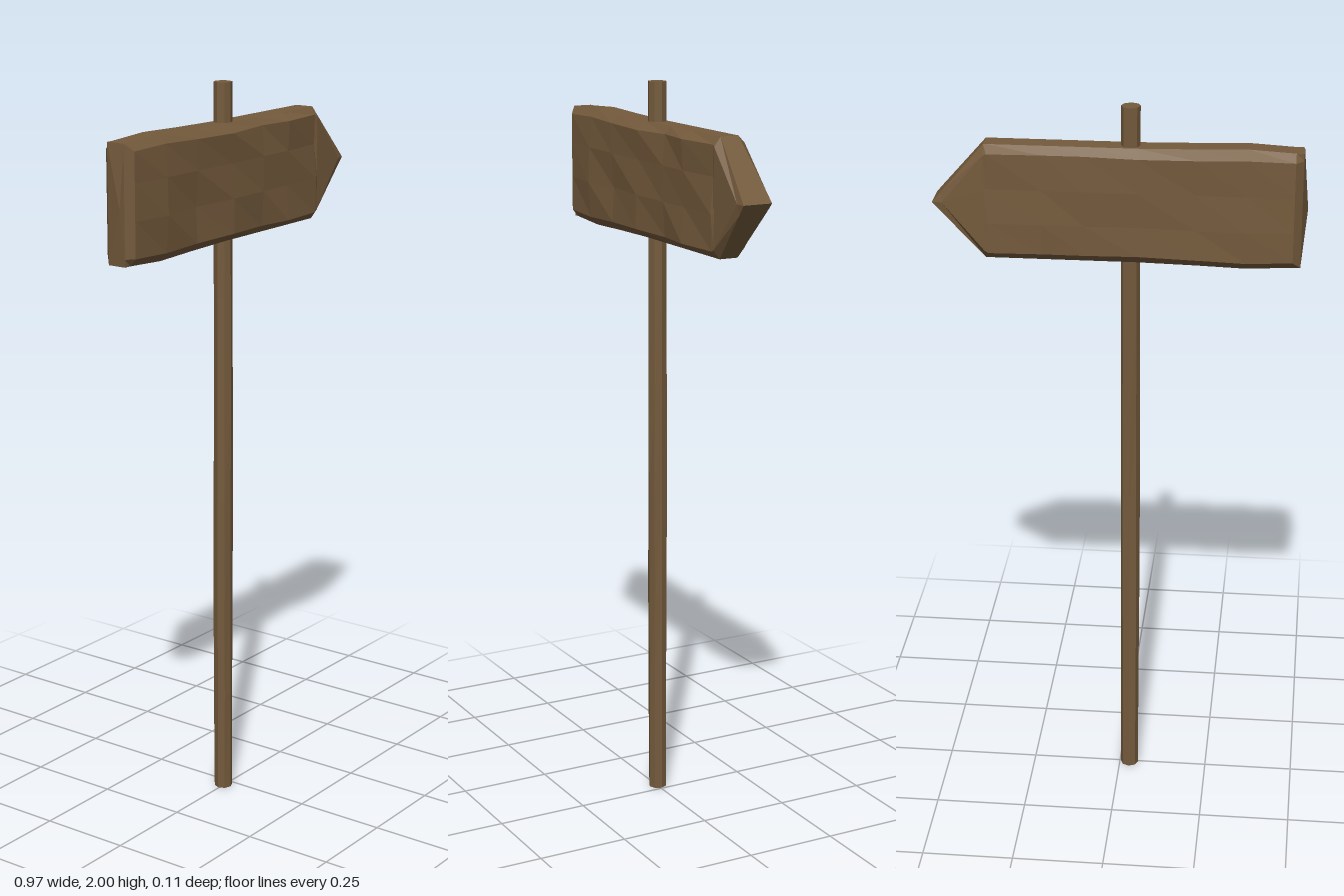
import * as THREE from 'three';

const wood = new THREE.MeshStandardMaterial({ color: 0x745a3c, flatShading: true, roughness: 1 });

// Square-cut post with slight hand-hewn irregularities
function makePost() {
  const geo = new THREE.CylinderGeometry(0.025, 0.025, 2, 8, 7);
  const p = geo.attributes.position;
  for (let i = 0; i < p.count; i++) {
    const x = p.getX(i), y = p.getY(i), z = p.getZ(i);
    const a = Math.round(Math.atan2(z, x) / (Math.PI / 4));
    const inner = Math.abs(y) < 0.99 ? 1 : 0;
    const k = 1 + inner * 0.09 * Math.max(0, Math.sin(a * a * 1.7 + y * 2.6)) * (y < 0.3 ? 1 : 0.3);
    p.setXYZ(i, x * k, y, z * k);
  }
  geo.computeVertexNormals();
  const post = new THREE.Mesh(geo, wood);
  post.position.set(-0.028, 1, -0.003);
  post.name = 'post';
  return post;
}

// Arrow board lofted along x: each section has bevelled rims and uneven faces
function makeBoard() {
  const cy = 1.74;
  // x, rim half height, face half height, rim front z, rim back z, face front z, face back z
  const sections = [
    [-0.472, 0.155, 0.135, 0.022, -0.03, 0.022, -0.03],
    [-0.452, 0.155, 0.135, 0.022, -0.03, 0.04, -0.05],
    [-0.33, 0.162, 0.139, 0.022, -0.03, 0.047, -0.056],
    [-0.2, 0.158, 0.135, 0.022, -0.03, 0.043, -0.053],
    [-0.05, 0.155, 0.132, 0.022, -0.03, 0.048, -0.05],
    [0.09, 0.155, 0.135, 0.022, -0.03, 0.043, -0.05],
    [0.2, 0.155, 0.135, 0.022, -0.03, 0.047, -0.05],
    [0.34, 0.155, 0.135, 0.022, -0.03, 0.04, -0.052],
    [0.35, 0.155, 0.13, 0.022, -0.03, 0.04, -0.051],
    [0.46, 0.029, 0, 0.031, -0.046, 0.037, -0.05],
    [0.485, 0, 0, 0.033, -0.049, 0.033, -0.049],
  ];
  const rows = [1, 0.4, -0.3, -1];
  const pos = [], idx = [];
  const n = 2 * rows.length + 4;
  sections.forEach(([x, h, hf, rf, rb, f, b], i) => {
    const rough = i > 1 && i < 8 ? 1 : 0;
    const ring = [[h, rf]];
    rows.forEach((v, j) => ring.push([v * hf, f + rough * 0.005 * Math.sin(i * 2.3 + j * 1.9)]));
    ring.push([-h, rf], [-h, rb]);
    rows.forEach((v, j) => ring.push([-v * hf, b + rough * 0.002 * Math.sin(i * 1.4 + j * 2.2)]));
    ring.push([h, rb]);
    ring.forEach(([y, z]) => pos.push(x, cy + y, z));
  });
  for (let i = 0; i < sections.length - 1; i++) {
    for (let j = 0; j < n; j++) {
      const a = i * n + j, b = i * n + (j + 1) % n;
      idx.push(a, b, b + n, a, b + n, a + n);
    }
  }
  // Bulging cut end
  const centre = pos.length / 3;
  pos.push(-0.486, 1.73, 0.018);
  for (let j = 0; j < n; j++) idx.push(centre, (j + 1) % n, j);

  const geo = new THREE.BufferGeometry();
  geo.setAttribute('position', new THREE.Float32BufferAttribute(pos, 3));
  geo.setIndex(idx);
  geo.computeVertexNormals();
  const board = new THREE.Mesh(geo, wood);
  board.name = 'arrowBoard';
  return board;
}

export function createModel() {
  const group = new THREE.Group();
  group.name = 'signpost';
  group.add(makePost(), makeBoard());
  return group;
}
